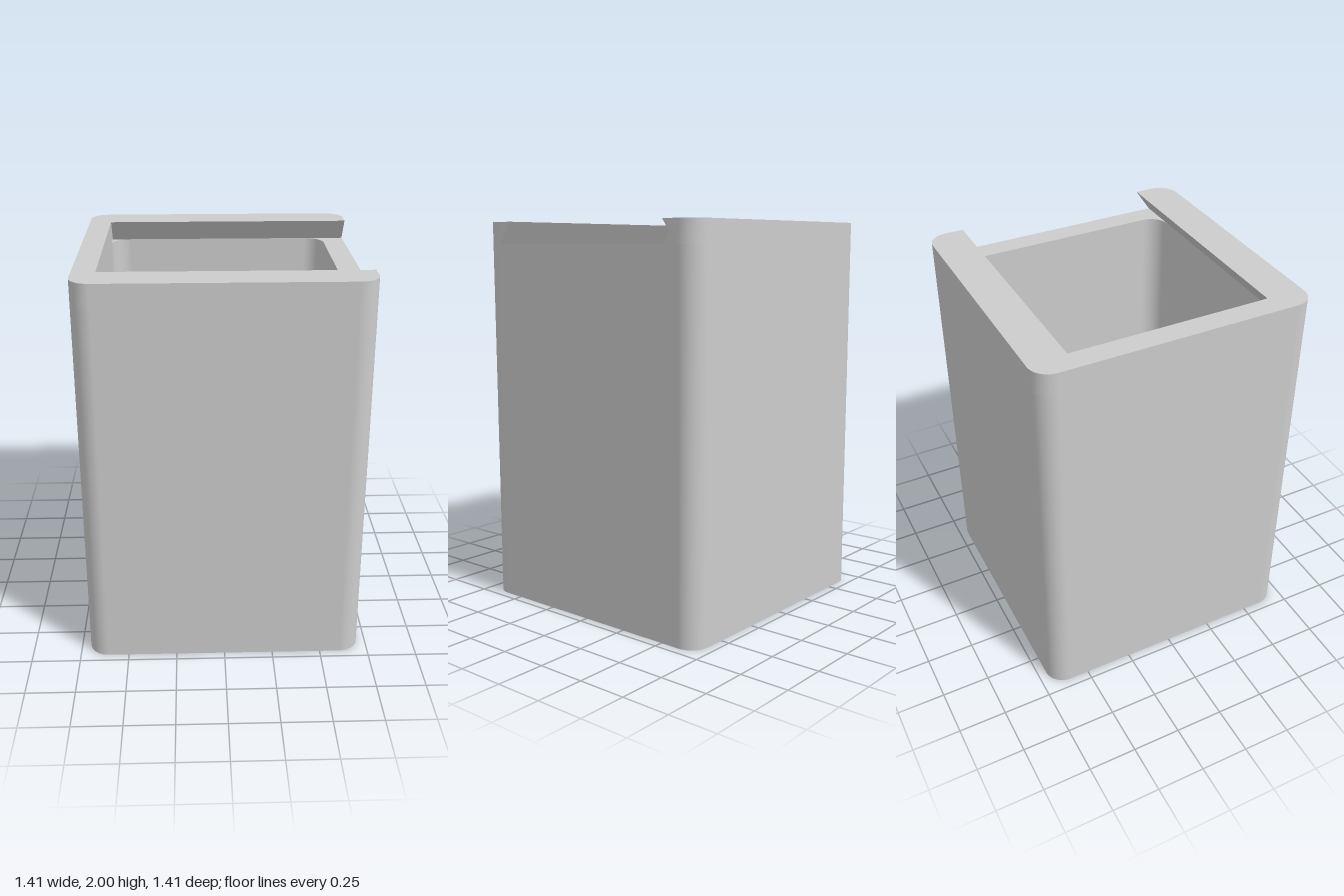
import * as THREE from 'three';

const OUT = 0.705, IN = 0.59, LIP = 0.51, R = 0.1; // half widths and corner radius
const H = 2, LEDGE = 1.885, FLOOR = 0.115, N = 10;

// Plan points are [x, -z], counter-clockwise from above.
function corner(h, k) {
  const a0 = k * Math.PI / 2;
  const cx = (k === 0 || k === 3 ? 1 : -1) * (h - R);
  const cy = (k < 2 ? 1 : -1) * (h - R);
  return Array.from({ length: N + 1 }, (_, i) => {
    const a = a0 + (i / N) * Math.PI / 2;
    return [cx + R * Math.cos(a), cy + R * Math.sin(a)];
  });
}
const roundedLoop = h => [0, 1, 2, 3].flatMap(k => corner(h, k));

// Wall ruled between a lower and an upper path; its face is on the right of travel.
function wall(low, y0, high, y1, closed) {
  const n = low.length, pos = [], index = [];
  low.forEach(([x, s]) => pos.push(x, y0, -s));
  high.forEach(([x, s]) => pos.push(x, y1, -s));
  for (let i = 0; i < (closed ? n : n - 1); i++) {
    const j = (i + 1) % n;
    index.push(i, j, n + j, i, n + j, n + i);
  }
  const g = new THREE.BufferGeometry();
  g.setAttribute('position', new THREE.Float32BufferAttribute(pos, 3));
  g.setIndex(index);
  g.computeVertexNormals();
  return g;
}

// Horizontal face, turned up or down.
function flat(points, y, up = true) {
  const shape = new THREE.Shape(points.map(p => new THREE.Vector2(...p)));
  const g = new THREE.ShapeGeometry(shape);
  g.rotateX(up ? -Math.PI / 2 : Math.PI / 2);
  return g.translate(0, y, 0);
}

export function createModel() {
  const group = new THREE.Group();
  group.name = 'slidingLidBox';
  const grey = new THREE.MeshStandardMaterial({ color: 0xcccccc });
  grey.name = 'light grey';
  const add = (name, geometry) => {
    const mesh = new THREE.Mesh(geometry, grey);
    mesh.name = name;
    group.add(mesh);
  };

  // Outside of the box
  const outer = roundedLoop(OUT);
  add('outerWall', wall(outer, 0, outer, LEDGE, true));
  add('underside', flat(outer, 0, false));

  // Rim, open on the +x side where the lid slides in
  const rimPath = w => [[OUT, w], ...outer, [OUT, -w]];
  add('rimOuterWall', wall(rimPath(IN), LEDGE, rimPath(LIP), H, false));
  add('rimTop', flat([...rimPath(LIP), [-IN, -LIP], [-IN, LIP]], H));

  // Dovetail slot: two leaning sides and an upright end
  const slot = w => [[OUT, -w], [-IN, -w], [-IN, w], [OUT, w]];
  const slotWall = wall(slot(IN), LEDGE, slot(LIP), H, false).toNonIndexed();
  slotWall.computeVertexNormals();
  add('dovetailSlot', slotWall);

  // Ledge under the lid: sill at the open side, slivers in the far corners
  add('lidSill', flat([
    [OUT, -IN], [OUT, IN],
    ...corner(IN, 0).reverse(), ...corner(IN, 3).reverse(),
  ], LEDGE));
  [[1, 1], [2, -1]].forEach(([k, side]) =>
    add('cornerLedge', flat([[-IN, side * IN], ...corner(IN, k)], LEDGE)));

  // Cavity
  const inner = roundedLoop(IN);
  const inward = [...inner].reverse();
  add('cavityWall', wall(inward, FLOOR, inward, LEDGE, true));
  add('cavityFloor', flat(inner, FLOOR));
  return group;
}
